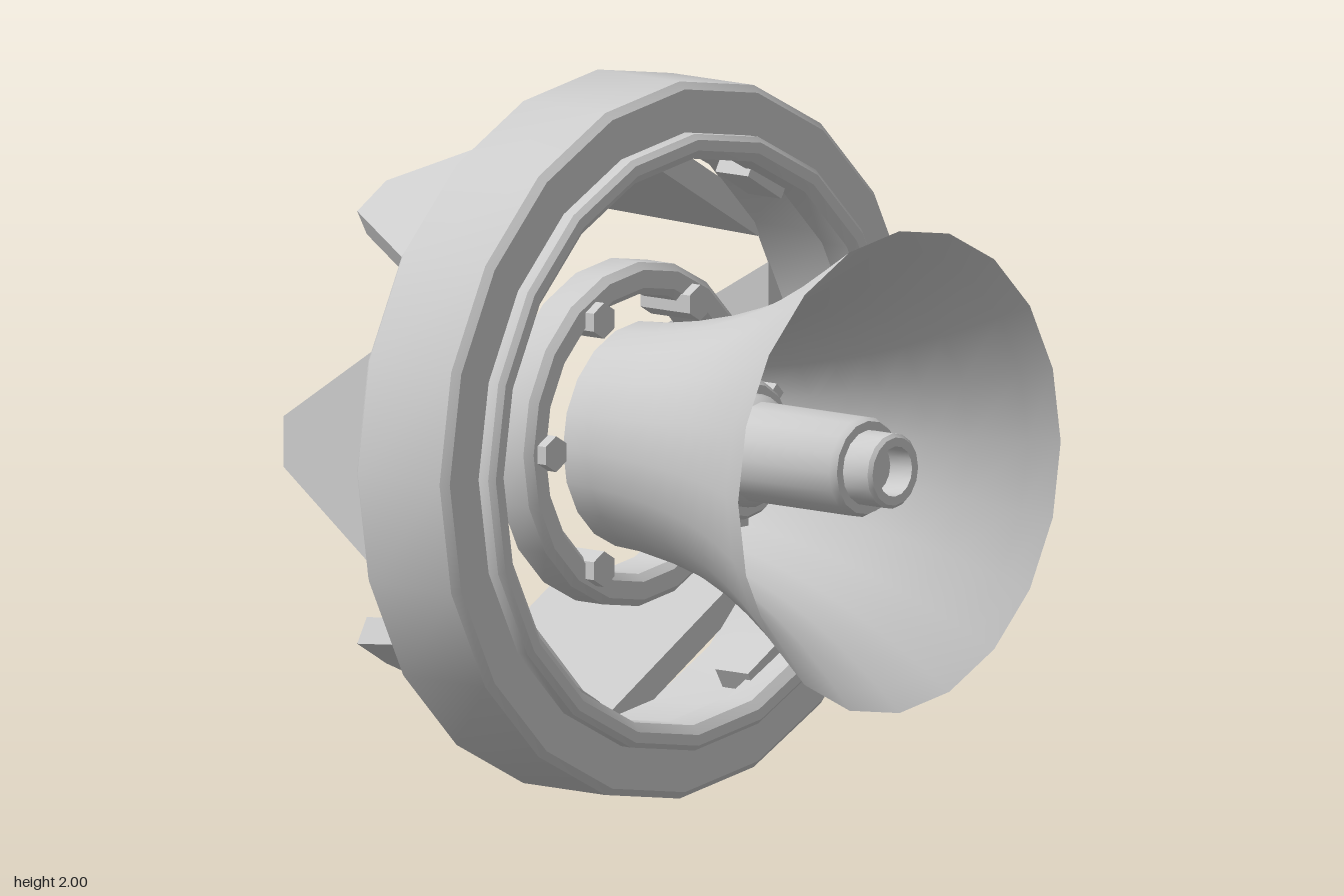
import * as THREE from 'three';
import { toCreasedNormals } from 'three/addons/utils/BufferGeometryUtils.js';

const steel = new THREE.MeshStandardMaterial({ color: 0xcccccc });
steel.name = 'light grey';

export function createModel() {
  const model = new THREE.Group();
  model.name = 'hornAssembly';
  const body = new THREE.Group();
  body.name = 'body';
  body.position.y = 1;
  model.add(body);

  const add = (name, geometry, parent = body) => {
    const mesh = new THREE.Mesh(geometry, steel);
    mesh.name = name;
    parent.add(mesh);
    return mesh;
  };

  // Turned part about the z axis; profile is [radius, z], outer side running forward
  const turned = (name, profile, sides) => {
    const g = new THREE.LatheGeometry(profile.map(([r, z]) => new THREE.Vector2(r, z)), sides);
    g.rotateX(Math.PI / 2);
    return add(name, toCreasedNormals(g, 0.6));
  };

  // Big outer ring with a raised front lip
  turned('outerRing', [
    [0.83, -0.32], [0.98, -0.32], [1, -0.3], [1, 0], [0.98, 0.02], [0.86, 0.02],
    [0.86, 0.055], [0.845, 0.07], [0.815, 0.07], [0.79, 0.05], [0.79, -0.04],
    [0.83, -0.04], [0.83, -0.32],
  ], 20);

  // Flared horn, thin at the mouth and open at the throat
  turned('horn', [
    [0.28, -0.15], [0.315, -0.15], [0.32, -0.06], [0.34, 0.07], [0.37, 0.2], [0.402, 0.3], [0.44, 0.4],
    [0.488, 0.5], [0.543, 0.6], [0.605, 0.7], [0.672, 0.805], [0.615, 0.735],
    [0.52, 0.6], [0.46, 0.5], [0.41, 0.4], [0.37, 0.3], [0.335, 0.2], [0.305, 0.07],
    [0.285, -0.06], [0.28, -0.15],
  ], 20);

  // Inner ring behind the horn
  turned('innerRing', [
    [0.39, -0.27], [0.46, -0.27], [0.48, -0.25], [0.48, -0.15], [0.46, -0.13],
    [0.41, -0.13], [0.39, -0.15], [0.39, -0.27],
  ], 20);

  // Central core: closed back, collar, barrel and hollow tip
  turned('core', [
    [0, -0.04], [0.2, -0.04], [0.2, 0.02], [0.17, 0.04], [0.17, 0.16], [0.195, 0.17],
    [0.2, 0.19], [0.2, 0.23], [0.185, 0.25], [0.16, 0.25], [0.155, 0.28], [0.14, 0.3],
    [0.14, 0.67], [0.13, 0.69], [0.105, 0.69], [0.105, 0.78], [0.095, 0.79],
    [0.07, 0.79], [0.07, 0.71], [0, 0.71],
  ], 16);

  // Small studs round the core collar
  for (let i = 0; i < 8; i++) {
    const a = (i * Math.PI) / 4;
    const stud = add('collarStud', new THREE.BoxGeometry(0.03, 0.04, 0.05));
    stud.position.set(0.2 * Math.cos(a), 0.2 * Math.sin(a), 0.21);
    stud.rotation.z = a;
  }

  // Tapered petal leaning inward towards the back
  const petalGeometry = () => {
    const g = new THREE.BoxGeometry(1, 1, 1);
    const p = g.attributes.position;
    for (let i = 0; i < p.count; i++) {
      const t = 0.5 - p.getZ(i);
      p.setXYZ(i,
        0.77 - 0.073 * t + 0.08 * p.getX(i),
        p.getY(i) * (0.74 - 0.6 * t),
        -0.315 - 0.488 * t);
    }
    g.computeVertexNormals();
    return g;
  };

  // Six stations, each with a petal, a hinge tab and a hexagonal bolt
  for (let i = 0; i < 6; i++) {
    const station = new THREE.Group();
    station.name = 'petalStation';
    station.rotation.z = (i * Math.PI) / 3;
    body.add(station);
    add('petal', petalGeometry(), station);
    add('hingeTab', new THREE.BoxGeometry(0.07, 0.16, 0.12), station).position.set(0.79, 0, -0.08);
    const bolt = new THREE.CylinderGeometry(0.05, 0.05, 0.18, 6);
    bolt.rotateX(Math.PI / 2);
    add('ringBolt', toCreasedNormals(bolt, 0.6), station).position.set(0.4, 0, -0.19);
  }

  return model;
}
